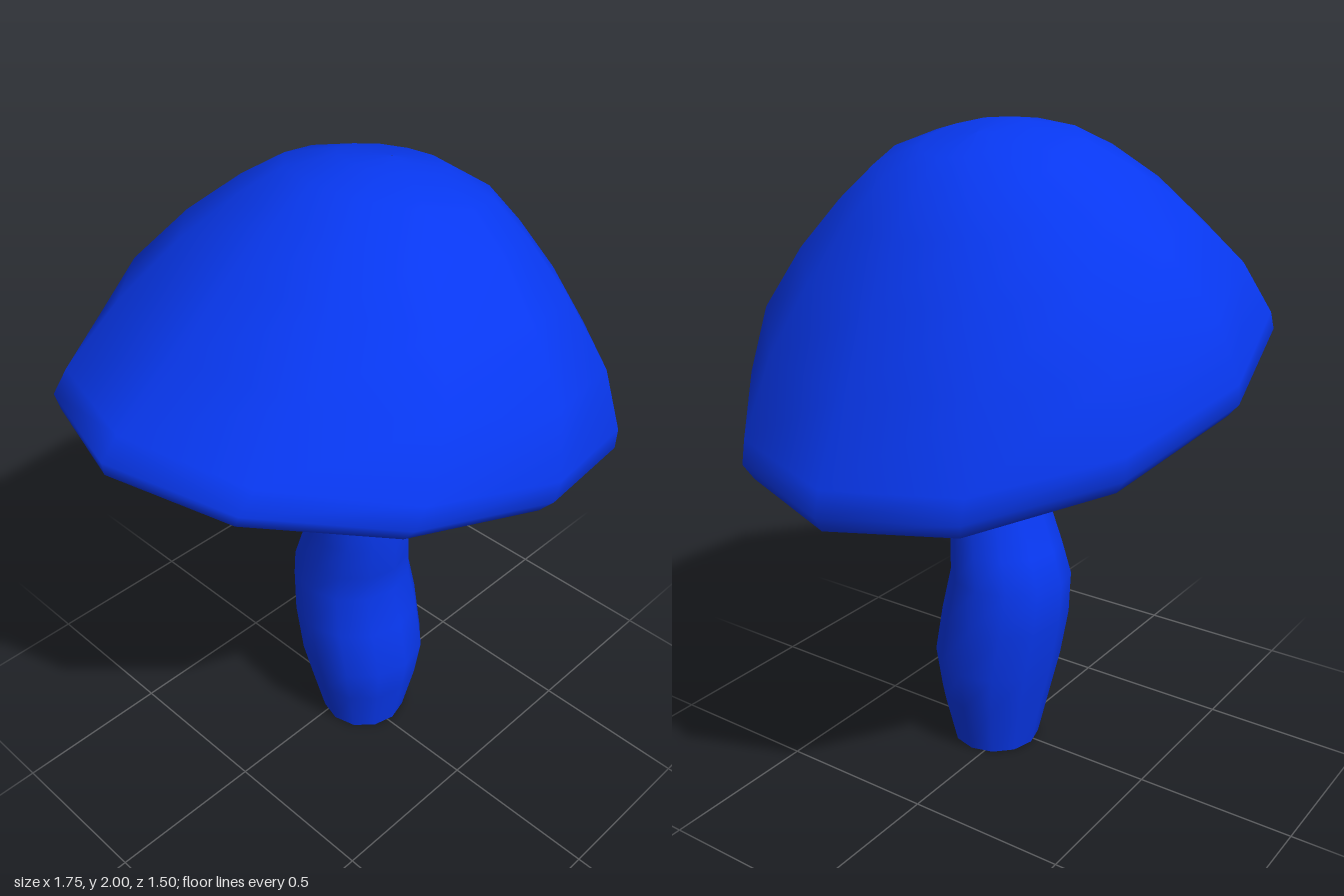
import * as THREE from 'three';

// Skin a stack of elliptical rings [xMin, yAtXMin, xMax, yAtXMax, zMin, zMax]
function loft(rings, sides) {
  const pos = [], idx = [];
  for (const [x0, y0, x1, y1, z0, z1] of rings) {
    for (let i = 0; i < sides; i++) {
      const a = (i / sides) * Math.PI * 2, c = Math.cos(a), s = Math.sin(a);
      pos.push(
        (x0 + x1) / 2 + ((x1 - x0) / 2) * c,
        (y0 + y1) / 2 + ((y1 - y0) / 2) * c,
        (z0 + z1) / 2 + ((z1 - z0) / 2) * s
      );
    }
  }
  for (let r = 0; r < rings.length - 1; r++) {
    for (let i = 0; i < sides; i++) {
      const j = (i + 1) % sides;
      const a = r * sides + i, b = r * sides + j, c = a + sides, d = b + sides;
      idx.push(a, c, b, b, c, d);
    }
  }
  const geo = new THREE.BufferGeometry();
  geo.setAttribute('position', new THREE.Float32BufferAttribute(pos, 3));
  geo.setIndex(idx);
  geo.computeVertexNormals();
  return geo;
}

export function createModel() {
  const group = new THREE.Group();
  group.name = 'mushroom';
  const material = new THREE.MeshStandardMaterial({ color: 0x0838f0 });
  const add = (name, geo) => {
    const mesh = new THREE.Mesh(geo, material);
    mesh.name = name;
    group.add(mesh);
  };

  // Tilted cap: hollow underside from its centre out, round the lip, up to the crown
  const under = [[0.001, 0.26], [0.35, 0.25], [0.62, 0.21], [0.76, 0.12], [0.85, 0.03]].map(([k, lift]) => {
    const cx = -0.01 + lift * 0.23, cy = 1.228 + lift * 0.97;
    return [cx - 0.83 * k, cy + 0.198 * k, cx + 0.83 * k, cy - 0.198 * k, -0.72 * k, 0.72 * k];
  });
  const outer = [
    [-0.84, 1.425, 0.82, 1.03, 0.67],
    [-0.87, 1.45, 0.85, 1.035, 0.71],
    [-0.875, 1.49, 0.875, 1.08, 0.748],
    [-0.82, 1.545, 0.855, 1.15, 0.752],
    [-0.63, 1.687, 0.745, 1.37, 0.70],
    [-0.44, 1.83, 0.635, 1.57, 0.56],
    [-0.27, 1.93, 0.53, 1.73, 0.416],
    [-0.14, 1.985, 0.44, 1.845, 0.30],
    [0, 2, 0.33, 1.92, 0.15],
    [0.159, 1.972, 0.161, 1.972, 0.001],
  ].map(([x0, y0, x1, y1, rz]) => [x0, y0, x1, y1, -rz, rz]);
  add('cap', loft([...under, ...outer], 12));

  // Bent stem: [y, xMin, xMax, zMin, zMax], running up into the cap
  const stem = [
    [0, -0.12, 0.16, -0.095, 0.185],
    [0.17, -0.16, 0.205, -0.135, 0.22],
    [0.3, -0.187, 0.225, -0.165, 0.24],
    [0.46, -0.187, 0.225, -0.195, 0.21],
    [0.6, -0.175, 0.208, -0.203, 0.18],
    [0.7, -0.17, 0.185, -0.165, 0.19],
    [0.82, -0.165, 0.15, -0.11, 0.205],
    [0.95, -0.155, 0.12, -0.08, 0.20],
    [1.08, -0.14, 0.10, -0.06, 0.19],
    [1.25, -0.11, 0.095, -0.045, 0.17],
    [1.4, -0.08, 0.08, -0.03, 0.15],
    [1.55, -0.04, 0.06, 0.01, 0.11],
  ].map(([y, x0, x1, z0, z1]) => [x0, y, x1, y, z0, z1]);
  add('stem', loft(stem, 12));

  // Flat foot closing the stem
  add('stemBase', loft([[0.019, 0, 0.021, 0, 0.044, 0.046], stem[0]], 12));

  return group;
}
